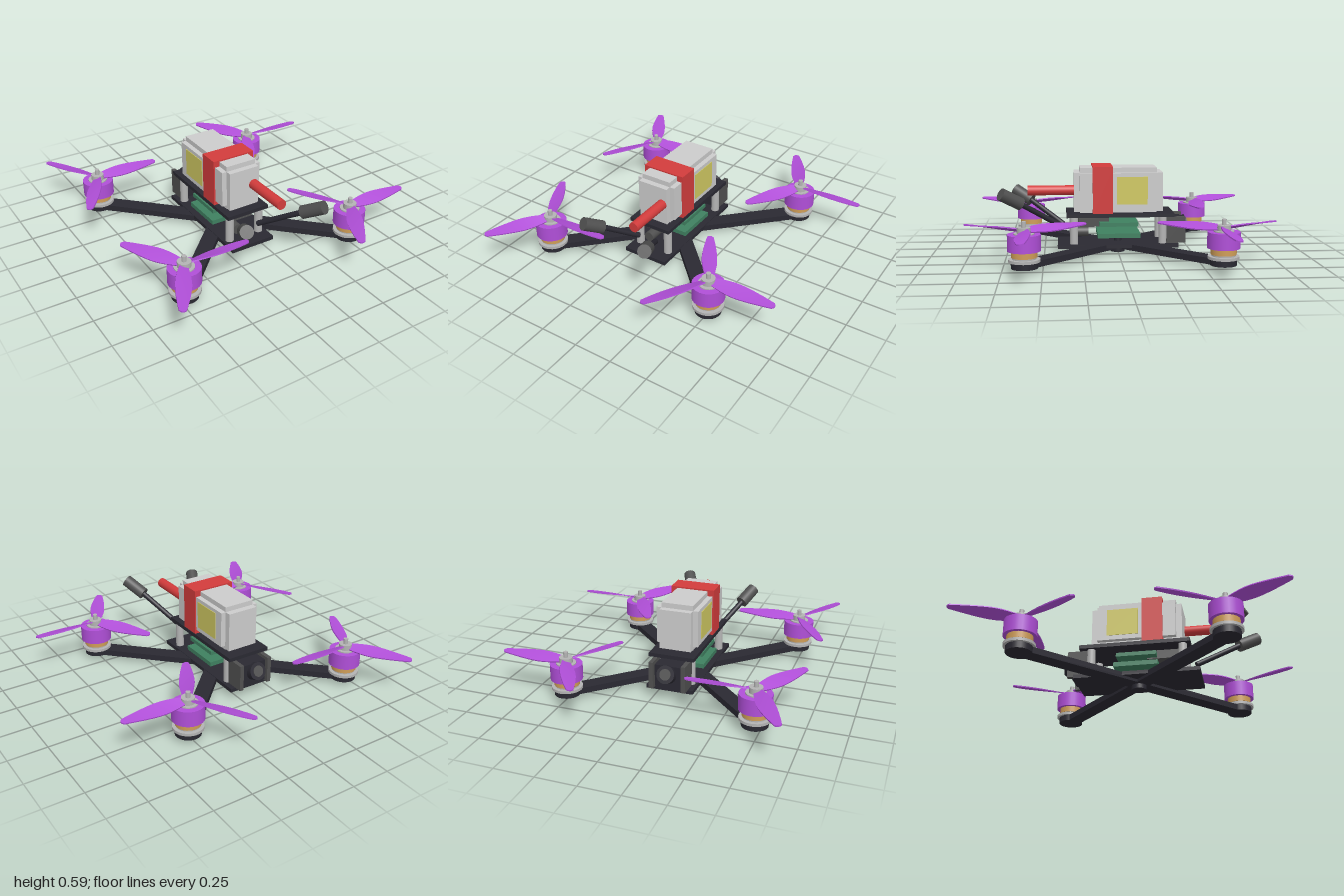
import * as THREE from 'three';

const mat = (name, color) => Object.assign(new THREE.MeshStandardMaterial({ color }), { name });

export function createModel() {
  const model = new THREE.Group();
  model.name = 'quadcopter';
  const black = mat('carbon black', 0x2a2932);
  const darkGrey = mat('dark grey plastic', 0x505050);
  const metal = mat('metal grey', 0xb4b4b4);
  const shell = mat('battery grey', 0xcccccc);
  const purple = mat('purple', 0xb04fd8);
  const copper = mat('copper', 0xcf9d58);
  const green = mat('board green', 0x3f8060);
  const red = mat('red', 0xd23c3c);
  const yellow = mat('label yellow', 0xcfc862);

  const add = (parent, name, geo, material, x = 0, y = 0, z = 0) => {
    const m = new THREE.Mesh(geo, material);
    m.name = name;
    m.position.set(x, y, z);
    parent.add(m);
    return m;
  };
  // box given by its lower and upper corners
  const box = (parent, name, material, [x0, y0, z0], [x1, y1, z1]) =>
    add(parent, name, new THREE.BoxGeometry(x1 - x0, y1 - y0, z1 - z0), material,
      (x0 + x1) / 2, (y0 + y1) / 2, (z0 + z1) / 2);
  // upright cylinder between two heights
  const post = (parent, name, material, r, y0, y1, x = 0, z = 0, sides = 28) =>
    add(parent, name, new THREE.CylinderGeometry(r, r, y1 - y0, sides), material, x, (y0 + y1) / 2, z);
  // cylinder between two points
  const rod = (parent, name, material, r, a, b, sides = 20) => {
    const p = new THREE.Vector3(...a), q = new THREE.Vector3(...b);
    const d = q.clone().sub(p);
    const m = add(parent, name, new THREE.CylinderGeometry(r, r, d.length(), sides), material);
    m.position.copy(p).add(q).multiplyScalar(0.5);
    m.quaternion.setFromUnitVectors(new THREE.Vector3(0, 1, 0), d.normalize());
    return m;
  };

  // all parts are laid out around the frame's own centre line
  const drone = new THREE.Group();
  drone.name = 'drone';
  drone.position.x = -0.105;
  model.add(drone);

  // frame
  const reach = 0.61;
  for (const s of [-1, 1]) {
    const arm = add(drone, 'arm', new THREE.BoxGeometry(reach * 2 * Math.SQRT2, 0.04, 0.1), black, 0, 0.05, 0);
    arm.rotation.y = s * Math.PI / 4;
  }
  box(drone, 'bottomPlate', black, [-0.155, 0.048, -0.4], [0.155, 0.073, 0.41]);
  box(drone, 'topPlate', black, [-0.15, 0.255, -0.37], [0.15, 0.28, 0.35]);
  post(drone, 'centreFoot', black, 0.048, 0, 0.035);
  post(drone, 'centreBolt', black, 0.025, 0.07, 0.095);
  for (const x of [-0.11, 0.11]) for (const z of [-0.295, 0.3])
    post(drone, 'standoff', metal, 0.027, 0.073, 0.255, x, z);

  // twisted, tapered propeller blade
  const bladeGeometry = (turn) => {
    const g = new THREE.BoxGeometry(1, 0.008, 1, 14, 1, 4);
    const p = g.attributes.position;
    for (let i = 0; i < p.count; i++) {
      const t = p.getX(i) + 0.5;
      const chord = t < 0.4
        ? THREE.MathUtils.lerp(0.055, 0.098, Math.sin(t / 0.4 * Math.PI / 2))
        : THREE.MathUtils.lerp(0.098, 0.042, ((t - 0.4) / 0.6) ** 1.6);
      const w = p.getZ(i);
      const pitch = turn * THREE.MathUtils.lerp(0.45, 0.12, t);
      const y = p.getY(i), c = w * chord;
      const tip = t * t * 0.05 * w * w; // rounded end
      p.setXYZ(i, 0.035 + t * 0.405 - tip, y * Math.cos(pitch) + c * Math.sin(pitch),
        c * Math.cos(pitch) - y * Math.sin(pitch));
    }
    g.computeVertexNormals();
    return g;
  };

  // motors and propellers
  for (const sx of [-1, 1]) for (const sz of [-1, 1]) {
    const rotor = new THREE.Group();
    rotor.name = 'rotor';
    rotor.position.set(sx * reach, 0, sz * reach);
    drone.add(rotor);
    post(rotor, 'armPad', black, 0.082, 0.03, 0.07);
    post(rotor, 'motorBase', metal, 0.098, 0.07, 0.088);
    post(rotor, 'motorCore', metal, 0.075, 0.088, 0.1);
    post(rotor, 'motorWinding', copper, 0.08, 0.098, 0.14);
    post(rotor, 'motorBell', purple, 0.102, 0.137, 0.238);
    post(rotor, 'motorCap', metal, 0.063, 0.238, 0.245);
    post(rotor, 'propellerHub', metal, 0.042, 0.24, 0.28);
    post(rotor, 'shaft', metal, 0.015, 0.27, 0.316, 0, 0, 16);
    const blade = bladeGeometry(-sx * sz);
    for (let k = 0; k < 3; k++)
      add(rotor, 'propellerBlade', blade, purple, 0, 0.262, 0).rotation.y = k * Math.PI * 2 / 3;
  }

  // electronics between the plates
  box(drone, 'lowerBoard', green, [-0.143, 0.115, -0.143], [0.143, 0.145, 0.143]);
  box(drone, 'upperBoard', green, [-0.13, 0.19, -0.13], [0.13, 0.216, 0.13]);
  box(drone, 'receiver', darkGrey, [-0.075, 0.182, 0.065], [0.075, 0.24, 0.27]);
  rod(drone, 'capacitor', darkGrey, 0.034, [-0.045, 0.13, 0.2], [-0.045, 0.13, 0.295]);

  // rear camera
  for (const s of [-1, 1])
    box(drone, 'cameraBracket', darkGrey, [s * 0.107 - 0.014, 0.073, -0.45], [s * 0.107 + 0.014, 0.25, -0.32]);
  box(drone, 'cameraBody', black, [-0.085, 0.09, -0.435], [0.085, 0.235, -0.3]);
  rod(drone, 'cameraLens', black, 0.058, [0, 0.165, -0.4], [0, 0.195, -0.475], 28);
  rod(drone, 'lensGlass', darkGrey, 0.036, [0, 0.19, -0.463], [0, 0.197, -0.48], 28);

  // battery with stepped edges, strap, labels and lead
  const battery = new THREE.Group();
  battery.name = 'battery';
  drone.add(battery);
  box(battery, 'batteryCore', shell, [-0.105, 0.282, -0.255], [0.105, 0.583, 0.26]);
  box(battery, 'batterySides', shell, [-0.138, 0.31, -0.255], [0.138, 0.55, 0.26]);
  box(battery, 'batteryEnds', shell, [-0.105, 0.288, -0.297], [0.105, 0.55, 0.298]);
  box(battery, 'strap', red, [-0.147, 0.281, 0.04], [0.147, 0.592, 0.175]);
  for (const s of [-1, 1])
    add(battery, 'label', new THREE.BoxGeometry(0.006, 0.185, 0.205), yellow, s * 0.139, 0.433, -0.088);
  rod(battery, 'powerLead', red, 0.033, [0.07, 0.432, 0.28], [0.07, 0.432, 0.606], 24);

  // antennas
  const antennas = [
    [[-0.07, 0.18, 0.37], [-0.19, 0.33, 0.59], [-0.245, 0.4, 0.705]],
    [[0.06, 0.18, 0.37], [0.2, 0.36, 0.645], [0.268, 0.435, 0.77]],
  ];
  for (const [root, neck, tip] of antennas) {
    rod(drone, 'antennaRod', black, 0.018, root, neck);
    rod(drone, 'antennaTip', darkGrey, 0.042, neck, tip, 24);
  }
  return model;
}
